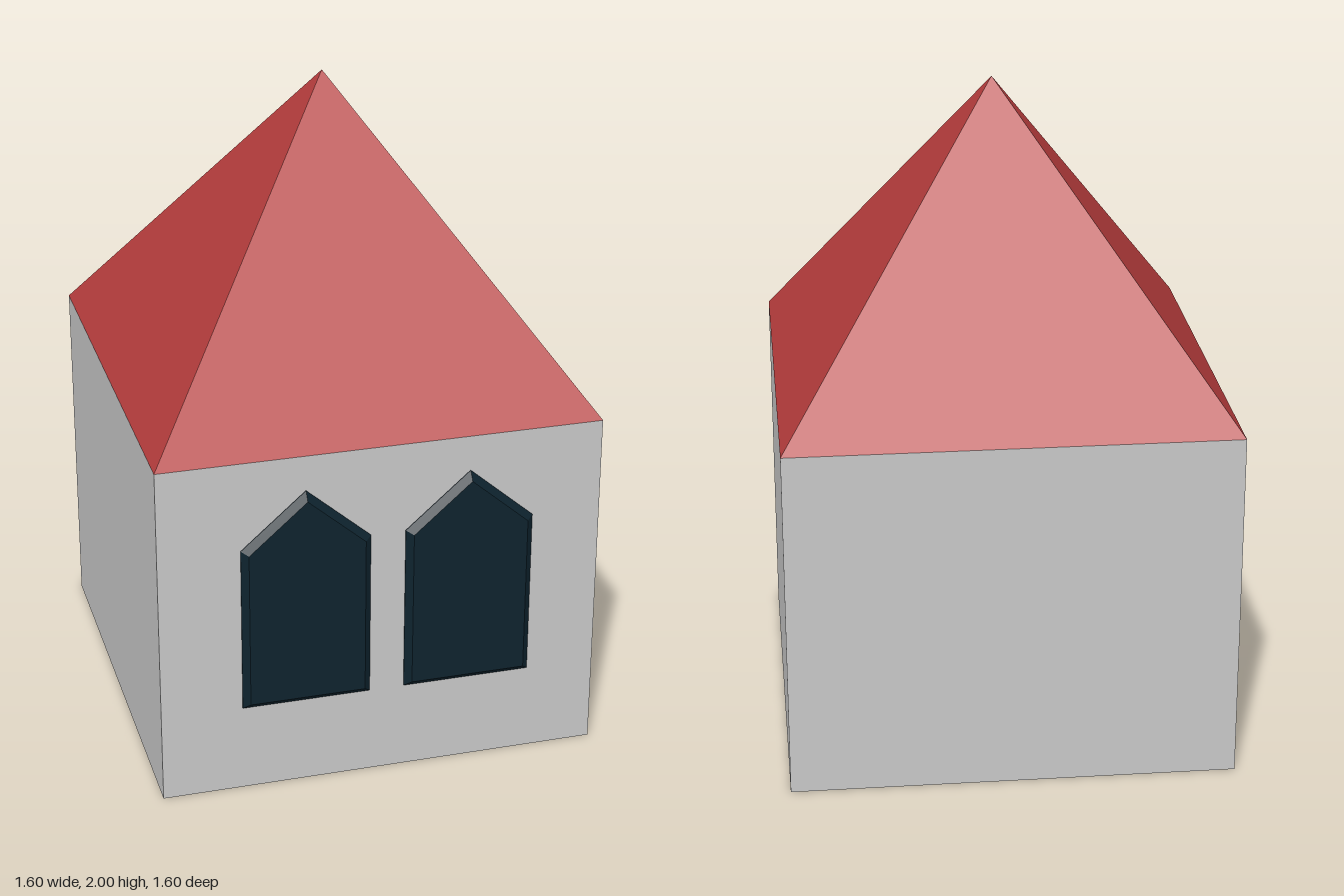
import * as THREE from 'three';

const SIDE = 1.342, WALL_H = 1.08, TOP = 2;

function material(name, color) {
  const m = new THREE.MeshStandardMaterial({ color });
  m.name = name;
  return m;
}

export function createModel() {
  const model = new THREE.Group();
  model.name = 'tower';
  const stone = material('stone grey', 0xc8c8c8);
  const tile = material('roof red', 0xb53c3c);
  const glass = material('dark window', 0x0e232e);

  const add = (name, geometry, mat, x, y, z) => {
    const mesh = new THREE.Mesh(geometry, mat);
    mesh.name = name;
    mesh.position.set(x, y, z);
    model.add(mesh);
  };

  // Square walls
  add('walls', new THREE.BoxGeometry(SIDE, WALL_H, SIDE), stone, 0, WALL_H / 2, 0);

  // Four-sided pyramid roof, flush with the walls
  const roof = new THREE.ConeGeometry(SIDE * Math.SQRT1_2, TOP - WALL_H, 4, 1)
    .rotateY(Math.PI / 4).toNonIndexed();
  roof.computeVertexNormals();
  add('roof', roof, tile, 0, (TOP + WALL_H) / 2, 0);

  // Pair of pointed windows with bevelled rims on the front wall
  const outline = new THREE.Shape([
    [-0.175, 0.295], [0.175, 0.295], [0.175, 0.791], [0, 0.944], [-0.175, 0.791],
  ].map(([x, y]) => new THREE.Vector2(x, y)));
  const pane = new THREE.ExtrudeGeometry(outline, {
    depth: 0.002, bevelThickness: 0.02, bevelSize: 0.02, bevelSegments: 1,
  });
  add('rightWindow', pane, glass, -0.23, 0, SIDE / 2);
  add('leftWindow', pane, glass, 0.266, 0, SIDE / 2);

  // The whole tower stands turned slightly about its axis
  model.rotation.y = -0.218;
  return model;
}
